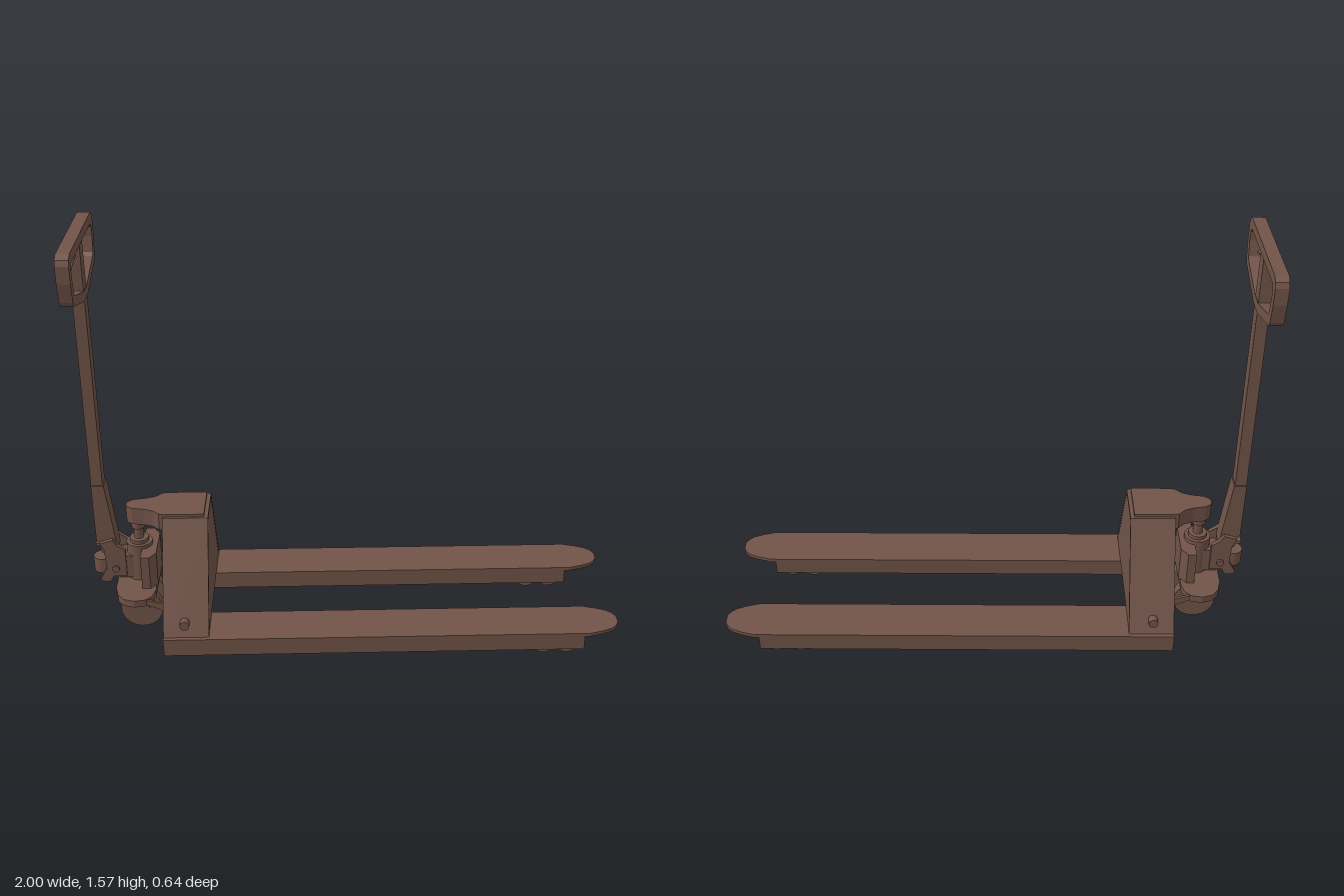
import * as THREE from 'three';

const paint = new THREE.MeshStandardMaterial({ color: 0x725449, side: THREE.DoubleSide });

const toShape = (pts) => new THREE.Shape(pts.map(([a, b]) => new THREE.Vector2(a, b)));

function extrude(outline, depth, holes = []) {
  const shape = outline.isShape ? outline : toShape(outline);
  holes.forEach((h) => shape.holes.push(toShape(h)));
  return new THREE.ExtrudeGeometry(shape, { depth, bevelEnabled: false, curveSegments: 10 });
}
// outline in (-z, y), swept along x
const alongX = (o, x0, x1, holes) => extrude(o, x1 - x0, holes).rotateY(Math.PI / 2).translate(x0, 0, 0);
// outline in (x, -z), swept along y
const alongY = (o, y0, y1) => extrude(o, y1 - y0).rotateX(-Math.PI / 2).translate(0, y0, 0);
// outline in (x, y), swept along z
const alongZ = (o, z0, z1) => extrude(o, z1 - z0).translate(0, 0, z0);

const box = (x0, x1, y0, y1, z0, z1) =>
  new THREE.BoxGeometry(x1 - x0, y1 - y0, z1 - z0).translate((x0 + x1) / 2, (y0 + y1) / 2, (z0 + z1) / 2);
const post = (r, x, y0, y1, z = 0) => new THREE.CylinderGeometry(r, r, y1 - y0, 28).translate(x, (y0 + y1) / 2, z);
const roller = (r, x, y, z0, z1) =>
  new THREE.CylinderGeometry(r, r, z1 - z0, 32).rotateX(Math.PI / 2).translate(x, y, (z0 + z1) / 2);
// mirror a half outline (second coordinate positive) across the first axis
const mirrorV = (half) => [...half, ...half.slice().reverse().map(([a, b]) => [a, -b])];
// mirror a half outline (first coordinate positive) across the second axis
const mirrorH = (half) => [...half, ...half.slice().reverse().map(([a, b]) => [-a, b])];

function add(parent, name, geometry) {
  const mesh = new THREE.Mesh(geometry, paint);
  mesh.name = name;
  parent.add(mesh);
  return mesh;
}

function group(parent, name) {
  const g = new THREE.Group();
  g.name = name;
  parent.add(g);
  return g;
}

// Hollow fork, open underneath, with a tapered tip and two load rollers
function buildFork(parent, side) {
  const fork = group(parent, side > 0 ? 'leftFork' : 'rightFork');
  const w = 0.09, t = 0.012;
  const tip = mirrorV([[-0.715, w], [0.88, w], [0.93, 0.075], [0.965, 0.06], [0.985, 0.042], [0.997, 0.02]]);
  add(fork, 'forkDeck', alongY(tip, 0.086, 0.1));
  for (const s of [-1, 1]) {
    const z0 = s > 0 ? w - t : -w;
    add(fork, 'forkWall', box(-0.715, 0.86, 0.03, 0.09, z0, z0 + t));
    const b0 = s > 0 ? 0.066 : -0.074;
    add(fork, 'rollerBracket', box(0.66, 0.86, 0.03, 0.088, b0, b0 + 0.008));
  }
  add(fork, 'forkEndWall', box(-0.715, -0.703, 0.03, 0.09, -w, w));
  add(fork, 'rollerCrossPlate', box(0.848, 0.86, 0.03, 0.088, -w, w));
  for (const x of [0.71, 0.8]) {
    add(fork, 'loadRoller', roller(0.04, x, 0.04, -0.065, 0.065));
    add(fork, 'rollerAxle', roller(0.01, x, 0.045, -0.085, 0.085));
  }
  fork.position.z = side * 0.228;
}

// Sloped tower shell, open toward the pump
function buildTower(parent) {
  const tower = group(parent, 'tower');
  const shell = [[-0.302, 0.1], [-0.285, 0.1], [-0.088, 0.478], [0.088, 0.478], [0.285, 0.1], [0.302, 0.1],
    [0.095, 0.492], [-0.095, 0.492]];
  add(tower, 'towerShell', alongX(shell, -0.715, -0.545));
  add(tower, 'towerFrontPanel', alongX([[-0.3, 0.1], [0.3, 0.1], [0.094, 0.491], [-0.094, 0.491]], -0.558, -0.546));
  for (const s of [-1, 1]) add(tower, 'sideBolt', roller(0.018, -0.635, 0.148, s * 0.285 - 0.015, s * 0.285 + 0.015));
}

// Pump, its reservoir and the arm that lifts the tower
function buildPump(parent) {
  const pump = group(parent, 'pump');
  const arm = mirrorV([[-0.7, 0.085], [-0.73, 0.08], [-0.755, 0.055], [-0.79, 0.042], [-0.835, 0.034],
    [-0.852, 0.022], [-0.86, 0.008]]);
  add(pump, 'liftArm', alongY(arm, 0.435, 0.503));
  add(pump, 'towerLid', box(-0.72, -0.56, 0.488, 0.503, -0.085, 0.085));
  add(pump, 'pistonRod', post(0.018, -0.82, 0.35, 0.436));
  add(pump, 'pistonCollar', post(0.025, -0.82, 0.405, 0.436));
  add(pump, 'pumpCap', post(0.036, -0.82, 0.34, 0.36));
  add(pump, 'pumpCylinder', post(0.05, -0.82, 0.19, 0.345));
  const tank = mirrorV([[-0.75, 0.075], [-0.775, 0.11], [-0.807, 0.11]]);
  add(pump, 'reservoir', alongY(tank, 0.185, 0.33));
  add(pump, 'pumpBase', box(-0.9, -0.78, 0.205, 0.3, -0.045, 0.045));
}

// Steering wheels, guard plate and push links
function buildSteering(parent) {
  const steer = group(parent, 'steering');
  for (const s of [-1, 1]) {
    add(steer, 'steerWheel', roller(0.08, -0.82, 0.08, s * 0.056 - 0.019, s * 0.056 + 0.019));
    add(steer, 'wheelHub', roller(0.03, -0.82, 0.08, s * 0.056 - 0.023, s * 0.056 + 0.023));
    const link = [[-0.86, 0.17], [-0.79, 0.17], [-0.7, 0.13], [-0.62, 0.13], [-0.62, 0.155], [-0.7, 0.165],
      [-0.79, 0.19], [-0.86, 0.19]];
    add(steer, 'pushLink', alongZ(link, s * 0.178 - 0.005, s * 0.178 + 0.005));
  }
  add(steer, 'wheelAxle', roller(0.014, -0.82, 0.08, -0.078, 0.078));
  add(steer, 'axleBracket', box(-0.85, -0.79, 0.045, 0.18, -0.025, 0.025));
  const guard = mirrorV([[-0.755, 0.06], [-0.755, 0.12], [-0.765, 0.165], [-0.79, 0.188], [-0.83, 0.195],
    [-0.87, 0.182], [-0.895, 0.15], [-0.908, 0.1], [-0.908, 0.05]]);
  add(steer, 'wheelGuard', alongY(guard, 0.165, 0.193));
}

// Upright handle with its pivot, grip loop and release lever
function buildHandle(parent) {
  const handle = group(parent, 'handle');
  add(handle, 'pivotBoss', post(0.036, -0.964, 0.22, 0.28));
  add(handle, 'pivotBlock', box(-0.964, -0.86, 0.22, 0.28, -0.036, 0.036));
  const cheek = [[-0.975, 0.2], [-0.955, 0.19], [-0.935, 0.19], [-0.92, 0.215], [-0.87, 0.215], [-0.87, 0.33],
    [-0.9, 0.35], [-0.915, 0.375], [-0.965, 0.36], [-0.95, 0.33], [-0.945, 0.25]];
  for (const s of [-1, 1]) add(handle, 'pivotCheek', alongZ(cheek, s * 0.044 - 0.009, s * 0.044 + 0.009));
  add(handle, 'pivotPin', roller(0.014, -0.91, 0.25, -0.062, 0.062));
  add(handle, 'pumpRoller', roller(0.02, -0.945, 0.325, -0.035, 0.035));
  add(handle, 'footPedal', box(-0.985, -0.94, 0.328, 0.34, -0.035, 0.015));
  const socket = [[-0.978, 0.37], [-0.96, 0.345], [-0.9, 0.32], [-0.905, 0.38], [-0.932, 0.6], [-0.979, 0.6]];
  add(handle, 'handleSocket', alongZ(socket, -0.036, 0.036));
  add(handle, 'handleShaft', box(-0.979, -0.936, 0.58, 1.56, -0.03, 0.03));
  const outer = mirrorH([[0, 1.332], [0.04, 1.335], [0.235, 1.393], [0.247, 1.41], [0.26, 1.48], [0.26, 1.54],
    [0.252, 1.56], [0.228, 1.573]].slice(1));
  const inner = mirrorH([[0.03, 1.37], [0.2, 1.418], [0.212, 1.43], [0.224, 1.485], [0.224, 1.52], [0.21, 1.537]]);
  add(handle, 'gripLoop', alongX(outer, -0.981, -0.934, [inner]));
  const lever = new THREE.CatmullRomCurve3([[1.5, 0.02], [1.494, 0.07], [1.486, 0.12], [1.474, 0.158]]
    .map(([y, z]) => new THREE.Vector3(-0.957, y, z)));
  add(handle, 'releaseLever', new THREE.TubeGeometry(lever, 12, 0.006, 8));
}

export function createModel() {
  const model = new THREE.Group();
  model.name = 'palletTruck';
  for (const side of [-1, 1]) buildFork(model, side);
  buildTower(model);
  buildPump(model);
  buildSteering(model);
  buildHandle(model);
  return model;
}
